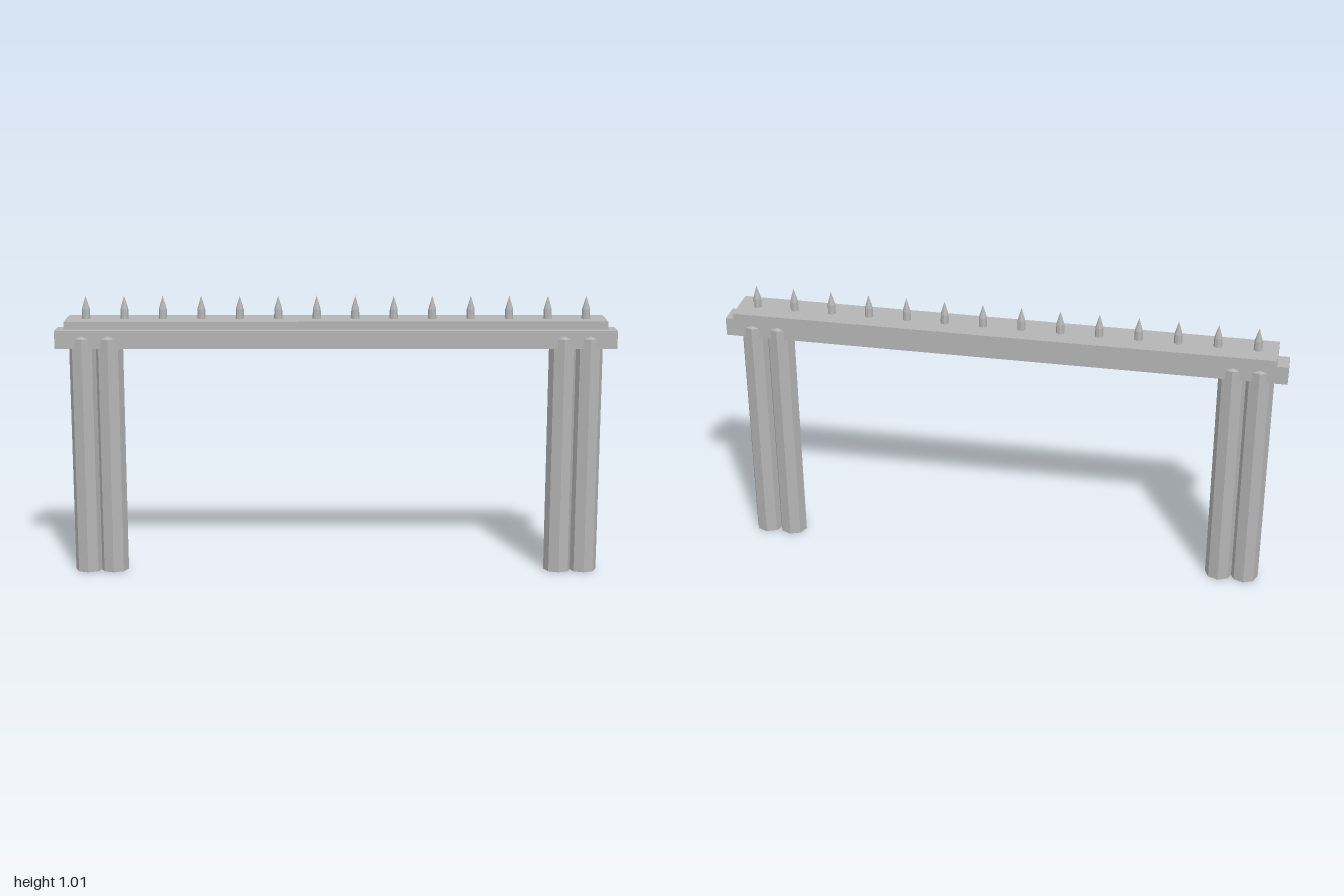
import * as THREE from 'three';

export function createModel() {
  const group = new THREE.Group();
  const grey = new THREE.MeshStandardMaterial({ color: 0xb4b4b4, flatShading: true });
  grey.name = 'grey';

  function add(name, geometry, x, y) {
    const mesh = new THREE.Mesh(geometry, grey);
    mesh.name = name;
    mesh.position.set(x, y, 0);
    group.add(mesh);
  }
  // eight-sided solid of revolution from [radius, height] pairs
  const turned = (points) =>
    new THREE.LatheGeometry(points.map(([r, y]) => new THREE.Vector2(r, y)), 8);

  // long beam and the wider plank above it
  add('beam', new THREE.BoxGeometry(2, 0.066, 0.08), 0, 0.858);
  add('plank', new THREE.BoxGeometry(1.92, 0.028, 0.148), 0, 0.915);

  // paired pointed posts at each end, tips passing through the beam
  const post = turned([[0, 0], [0.05, 0], [0.05, 0.86], [0, 0.913]]);
  for (const side of [-1, 1]) {
    for (const x of [0.904, 0.811]) add('post', post, side * x, 0);
  }

  // row of spikes along the plank
  const spike = turned([[0, 0], [0.015, 0], [0.014, 0.037], [0, 0.085]]);
  const count = 14;
  for (let i = 0; i < count; i++) {
    add('spike', spike, -0.89 + (1.78 * i) / (count - 1), 0.926);
  }
  return group;
}
